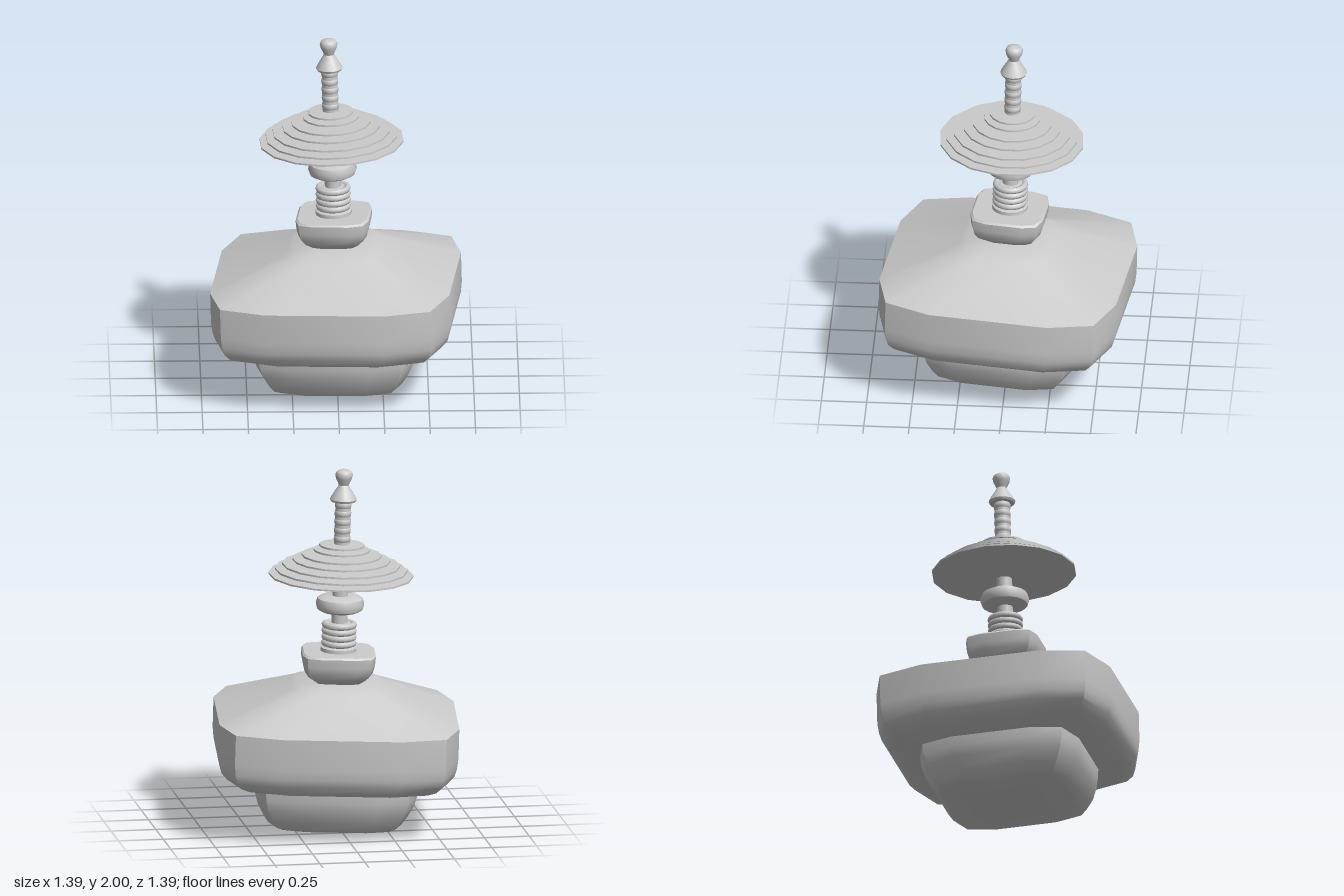
import * as THREE from 'three';
import { toCreasedNormals } from 'three/addons/utils/BufferGeometryUtils.js';

const grey = new THREE.MeshStandardMaterial({ color: 0xcccccc, side: THREE.DoubleSide });

// Corner of the rounded-square plan, repeated four times by quarter turns
const corner = [[0.62, 0.40], [0.695, -0.255], [0.645, -0.51]];
const plan = [];
for (let q = 0; q < 4; q++) {
  for (const [x, z] of corner) {
    let p = [x, z];
    for (let i = 0; i < q; i++) p = [p[1], -p[0]];
    plan.push(p);
  }
}

// Loft of the plan: profile is a list of [scale, height] from bottom to top
function squareLathe(profile, crease = 0.72) {
  const n = plan.length, pos = [], idx = [];
  for (const [s, y] of profile) for (const [x, z] of plan) pos.push(x * s, y, z * s);
  for (let r = 0; r < profile.length - 1; r++) {
    for (let i = 0; i < n; i++) {
      const a = r * n + i, b = r * n + (i + 1) % n;
      idx.push(a, b, b + n, a, b + n, a + n);
    }
  }
  const g = new THREE.BufferGeometry();
  g.setAttribute('position', new THREE.Float32BufferAttribute(pos, 3));
  g.setIndex(idx);
  return toCreasedNormals(g, crease);
}

// Round part from a list of [radius, height] from bottom to top
function roundLathe(profile, sides = 16, crease = 0.7) {
  const g = new THREE.LatheGeometry(profile.map(([r, y]) => new THREE.Vector2(r, y)), sides);
  return toCreasedNormals(g, crease);
}

export function createModel() {
  const model = new THREE.Group();
  model.name = 'spindleTop';
  const tilted = new THREE.Group();
  tilted.name = 'tiltedAssembly';
  model.add(tilted);

  const add = (name, geometry, y = 0) => {
    const m = new THREE.Mesh(geometry, grey);
    m.name = name;
    m.position.y = y;
    tilted.add(m);
    return m;
  };

  // Rounded foot
  add('foot', squareLathe([
    [0, 0.004], [0.3, 0.008], [0.5, 0.022], [0.555, 0.04], [0.6, 0.085],
    [0.65, 0.15], [0.675, 0.21], [0.68, 0.27],
  ]));

  // Wide body with sloping shoulders
  add('body', squareLathe([
    [0.6, 0.258], [0.74, 0.265], [0.84, 0.28], [0.92, 0.305], [0.97, 0.345],
    [0.99, 0.39], [1, 0.45], [1, 0.62], [0.39, 0.785], [0.34, 0.803], [0, 0.81],
  ]));

  // Small square bowl
  add('bowl', squareLathe([
    [0.1, 0.80], [0.19, 0.81], [0.25, 0.84], [0.285, 0.875], [0.3, 0.915],
    [0.305, 0.965], [0.29, 0.975], [0, 0.975],
  ]));

  // Mast and its lower collar
  add('mast', new THREE.CylinderGeometry(0.043, 0.045, 0.9, 16), 1.4);
  add('collar', roundLathe([[0.1, 0.965], [0.1, 0.995], [0.075, 1.005], [0.075, 1.13], [0.04, 1.135]]));
  for (let i = 0; i < 4; i++) {
    const ring = add('coilRing' + (i + 1), new THREE.TorusGeometry(0.08, 0.018, 8, 20), 1.02 + i * 0.034);
    ring.rotation.x = Math.PI / 2;
  }

  // Thick rounded ring
  add('thickRing', roundLathe([
    [0.04, 1.195], [0.1, 1.197], [0.125, 1.21], [0.135, 1.24],
    [0.125, 1.272], [0.1, 1.285], [0.04, 1.287],
  ], 20));

  // Stack of shallow conical discs
  const discs = [[0.4, 1.405], [0.365, 1.432], [0.325, 1.46], [0.27, 1.488],
    [0.22, 1.515], [0.155, 1.545], [0.125, 1.572]];
  discs.forEach(([r, y], i) => {
    const disc = add('parasolDisc' + (i + 1), roundLathe([
      [0, y - 0.11 * r], [r, y - 0.006], [r, y + 0.004], [0.03, y + 0.008],
    ]));
    disc.rotation.y = THREE.MathUtils.degToRad(14.5);
  });

  // Beads up the spire
  for (let i = 0; i < 5; i++) {
    const y = 1.585 + i * 0.048;
    add('spireBead' + (i + 1), roundLathe([
      [0.036, y], [0.045, y + 0.01], [0.047, y + 0.024], [0.045, y + 0.038], [0.036, y + 0.048],
    ]));
  }

  // Bell and knob finial
  add('bell', roundLathe([
    [0, 1.818], [0.068, 1.82], [0.074, 1.832], [0.066, 1.848], [0.05, 1.875], [0.034, 1.9], [0.026, 1.915],
  ]));
  add('knob', roundLathe([
    [0.026, 1.905], [0.033, 1.925], [0.045, 1.95], [0.049, 1.97],
    [0.043, 1.987], [0.026, 1.997], [0, 2.0],
  ]));

  // Slight lean of the whole assembly
  tilted.rotation.set(-0.022, 0, 0.028);
  tilted.position.set(0.01, 0, 0.015);
  return model;
}
